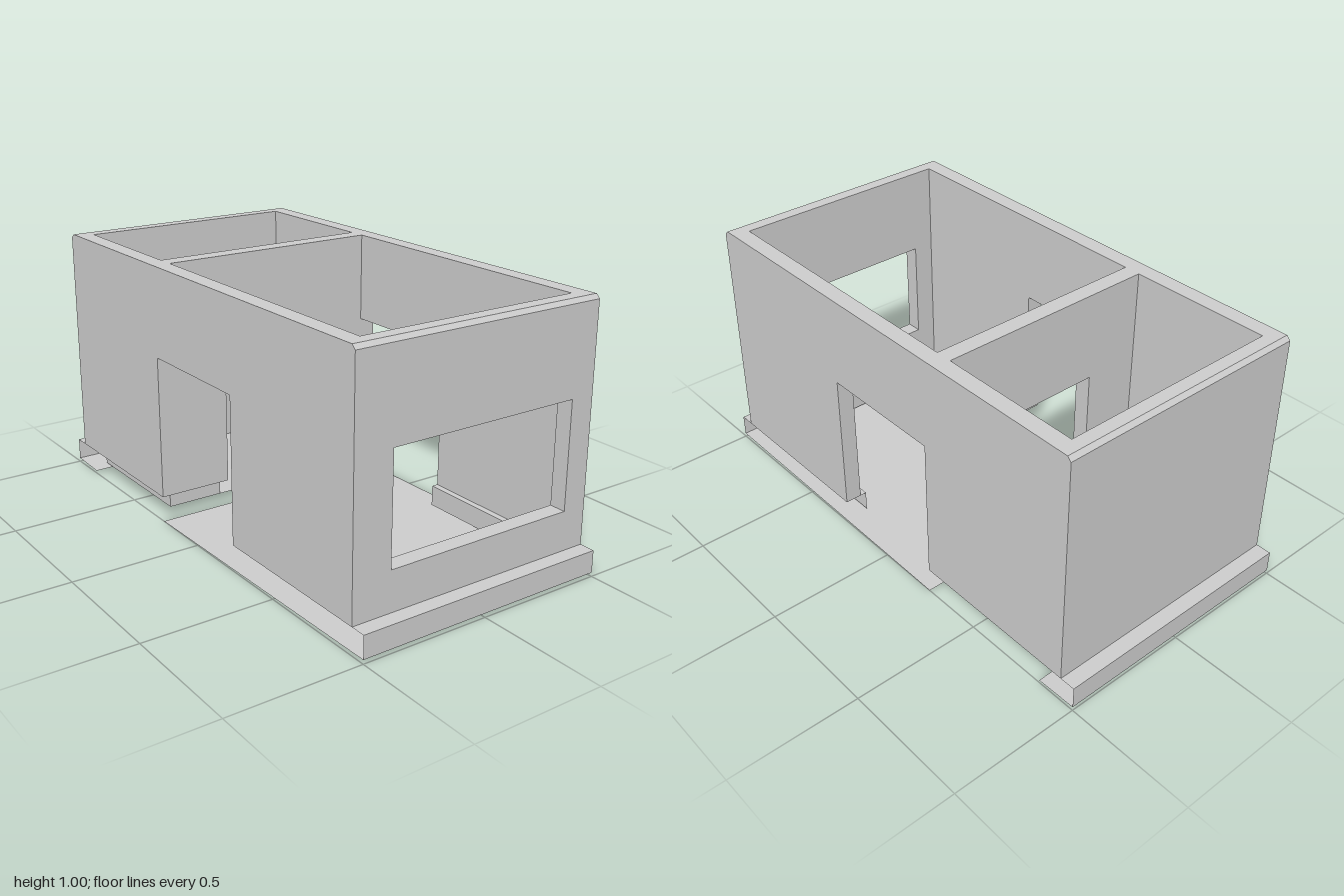
import * as THREE from 'three';

export function createModel() {
  const model = new THREE.Group();
  const solid = new THREE.MeshStandardMaterial({ color: 0xcccccc, flatShading: true });
  const sheet = new THREE.MeshStandardMaterial({ color: 0xcccccc, flatShading: true, side: THREE.DoubleSide });

  const add = (name, geometry, material = solid) => {
    const mesh = new THREE.Mesh(geometry, material);
    mesh.name = name;
    model.add(mesh);
    return mesh;
  };
  const outline = (points) => new THREE.Shape(points.map(([x, y]) => new THREE.Vector2(x, y)));
  const extrude = (shape, depth) => new THREE.ExtrudeGeometry(shape, { depth, bevelEnabled: false });

  // Thin sheet between two opposite (x, y) points, running along z
  const strip = (name, x0, y0, x1, y1, z0, z1) => {
    const g = new THREE.PlaneGeometry(Math.hypot(x1 - x0, y1 - y0), z1 - z0);
    g.rotateX(-Math.PI / 2);
    g.rotateZ(Math.atan2(y1 - y0, x1 - x0));
    g.translate((x0 + x1) / 2, (y0 + y1) / 2, (z0 + z1) / 2);
    add(name, g, sheet);
  };
  // Thin upright sheet facing z
  const upright = (name, x0, x1, y0, y1, z) => {
    const g = new THREE.PlaneGeometry(x1 - x0, y1 - y0);
    g.translate((x0 + x1) / 2, (y0 + y1) / 2, z);
    add(name, g, sheet);
  };

  const X = 0.94, Z = 0.5, T = 0.065, BASE = 0.1, C = 0.015;
  const inZ = Z - T;
  const doorL = -0.255, doorR = 0.25, head = 0.655;

  // Front and back walls with a doorway and clipped top corners
  const longWall = outline([
    [-X, BASE], [doorL, BASE], [doorL, head], [doorR, head], [doorR, BASE], [X, BASE],
    [X, 1 - C], [X - C, 1], [-X + C, 1], [-X, 1 - C],
  ]);
  add('frontWall', extrude(longWall, T)).position.z = inZ;
  add('backWall', extrude(longWall, T)).position.z = -Z;

  // Walls lying across the model: shape is drawn in (-z, y)
  const crossWall = (name, shape, x) => {
    const mesh = add(name, extrude(shape, T));
    mesh.rotation.y = Math.PI / 2;
    mesh.position.x = x;
  };
  const sideShape = () => outline([[-inZ, BASE], [inZ, BASE], [inZ, 1 - C], [-inZ, 1 - C]]);
  const windowWall = sideShape();
  windowWall.holes.push(outline([[-0.35, 0.25], [-0.35, head], [0.405, head], [0.405, 0.25]]));
  crossWall('windowWall', windowWall, X - T);
  crossWall('plainSideWall', sideShape(), -X);

  // Clipped upper edge of the side walls
  for (const s of [1, -1]) {
    const cap = outline([[s * (X - T), 1 - C], [s * X, 1 - C], [s * (X - C), 1], [s * (X - T), 1]]);
    add('sideWallCap', extrude(cap, 2 * inZ)).position.z = -inZ;
  }

  // Partition with an inner doorway
  crossWall('partition', outline([
    [-inZ, BASE], [-0.21, BASE], [-0.21, head], [0.2, head], [0.2, BASE], [inZ, BASE], [inZ, 1], [-inZ, 1],
  ]), doorL - T);

  // Floors
  const low = 0.02, smallL = -0.875, smallR = -0.32;
  strip('largeRoomFloor', doorL, 0, 1, 0.015, -Z, Z);
  strip('smallRoomFloor', smallL, low, smallR, low, -inZ, inZ);
  strip('outerFloorStrip', -1, 0.015, -0.84, 0.01, -Z, Z);

  // Ledges and outer kerbs at both ends
  for (const s of [1, -1]) {
    strip('endLedge', s * X, BASE, s, BASE, -Z, Z);
    strip('endKerb', s, 0.015, s, BASE, -Z, Z);
  }

  // Skirts below the walls
  for (const s of [1, -1]) {
    upright('smallRoomSkirt', smallL, smallR, low, BASE, s * inZ);
    upright('largeRoomSkirt', doorR, 0.84, low, BASE, s * 0.41);
    strip('largeRoomLedge', doorR, BASE, X - T, BASE, Math.min(s * 0.41, s * inZ), Math.max(s * 0.41, s * inZ));
  }
  strip('smallRoomEndSkirt', smallL, low, smallL, BASE, -inZ, inZ);
  strip('smallRoomPartitionSkirt', smallR, low, smallR, BASE, -inZ, -0.2);
  strip('smallRoomPartitionSkirt', smallR, low, smallR, BASE, 0.21, inZ);
  strip('largeRoomEndSkirt', 0.84, low, 0.84, BASE, -0.41, 0.41);
  strip('largeRoomEndLedge', 0.84, BASE, X - T, BASE, -0.41, 0.41);

  return model;
}
